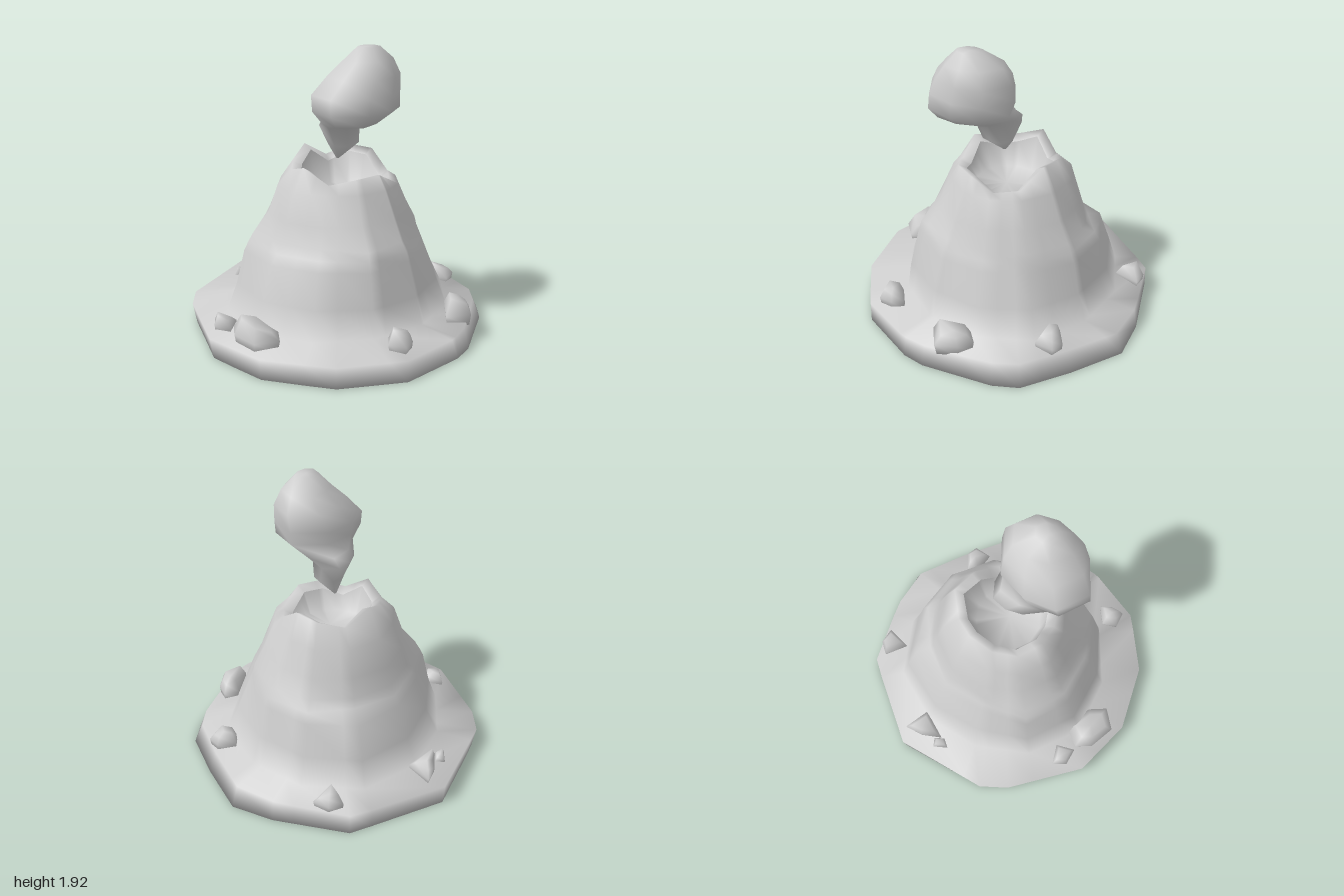
import * as THREE from 'three';

// Skin a stack of closed rings with smooth normals; caps are fans to the ring centre.
function loft(rings, capBottom = true, capTop = true) {
  const n = rings[0].length, pos = [], idx = [];
  rings.forEach(r => r.forEach(p => pos.push(...p)));
  for (let j = 0; j < rings.length - 1; j++) {
    for (let i = 0; i < n; i++) {
      const a = j * n + i, b = j * n + (i + 1) % n, c = b + n, d = a + n;
      idx.push(a, d, c, a, c, b);
    }
  }
  const cap = (j, top) => {
    const c = pos.length / 3;
    pos.push(...[0, 1, 2].map(k => rings[j].reduce((s, p) => s + p[k], 0) / n));
    for (let i = 0; i < n; i++) {
      const a = j * n + i, b = j * n + (i + 1) % n;
      if (top) idx.push(c, b, a); else idx.push(c, a, b);
    }
  };
  if (capBottom) cap(0, false);
  if (capTop) cap(rings.length - 1, true);
  const g = new THREE.BufferGeometry();
  g.setAttribute('position', new THREE.Float32BufferAttribute(pos, 3));
  g.setIndex(idx);
  g.computeVertexNormals();
  return g;
}

// Ground outline (x, z), from +x turning toward +z
const OUTLINE = [[0.99, 0.15], [0.93, 0.32], [0.65, 0.72], [0.53, 0.82], [0.12, 1], [-0.32, 0.955],
  [-0.73, 0.72], [-0.97, 0.36], [-1, -0.2], [-0.95, -0.4], [-0.52, -0.895], [0.15, -1],
  [0.6, -0.765], [0.83, -0.58], [0.93, -0.2]];

// Column angles: every 30 degrees plus each ground corner that is not already close to one
const TURN = Math.PI * 2;
const even = Array.from({ length: 12 }, (_, i) => i / 12 * TURN);
const corners = OUTLINE.map(([x, z]) => (Math.atan2(z, x) + TURN) % TURN);
const ANGLES = [...corners, ...even.filter(e => corners.every(c => Math.abs(c - e) > 0.04))].sort((a, b) => a - b);

// Resample a closed outline of points [x, y, z] to the column angles.
function resample(points) {
  return ANGLES.map(angle => {
    const c = Math.cos(angle + 1e-5), s = Math.sin(angle + 1e-5);
    for (let i = 0; i < points.length; i++) {
      const p = points[i], q = points[(i + 1) % points.length];
      const u = p[2] * c - p[0] * s, v = q[2] * c - q[0] * s;
      if (u <= 0 && v > 0) {
        const t = u / (u - v);
        return p.map((e, m) => e + (q[m] - e) * t);
      }
    }
  });
}

// Ring from twelve radii and one height or twelve.
const polar = (radii, y) => resample(radii.map((r, i) =>
  [r * Math.cos(even[i]), Array.isArray(y) ? y[i] : y, r * Math.sin(even[i])]));

export function createModel() {
  const group = new THREE.Group();
  const stone = new THREE.MeshStandardMaterial({ color: 0xcccccc });
  stone.name = 'paleGrey';
  const add = (name, geometry, parent = group) => {
    const m = new THREE.Mesh(geometry, stone);
    m.name = name;
    parent.add(m);
  };

  // Ground edge: its right side leans inward going up, its left side outward
  const ground = (y, right, left) =>
    resample(OUTLINE.map(([x, z]) => [x * (x > 0 ? right : left), y, z]));

  // Flanks and rim, twelve columns each
  const rimY = [1.04, 1.02, 1.1, 1.09, 1.05, 1.15, 1.1, 1.13, 1.2, 1.1, 1.16, 1.16];
  const rimR = [0.34, 0.34, 0.34, 0.34, 0.32, 0.34, 0.33, 0.32, 0.33, 0.33, 0.37, 0.33];
  const flanks = [
    [0.165, [0.77, 0.74, 0.72, 0.72, 0.75, 0.8, 0.79, 0.76, 0.78, 0.81, 0.78, 0.75]],
    [0.35, [0.68, 0.67, 0.67, 0.69, 0.69, 0.72, 0.72, 0.67, 0.7, 0.75, 0.71, 0.68]],
    [0.57, [0.59, 0.58, 0.6, 0.635, 0.61, 0.64, 0.665, 0.58, 0.61, 0.67, 0.65, 0.63]],
    [0.63, [0.565, 0.55, 0.58, 0.62, 0.57, 0.59, 0.635, 0.55, 0.57, 0.56, 0.61, 0.6]],
    [0.69, [0.55, 0.52, 0.54, 0.6, 0.52, 0.55, 0.6, 0.52, 0.53, 0.535, 0.55, 0.57]],
    [0.82, [0.48, 0.47, 0.48, 0.475, 0.47, 0.5, 0.495, 0.48, 0.5, 0.495, 0.5, 0.49]],
    [1.0, [0.4, 0.4, 0.4, 0.39, 0.39, 0.43, 0.43, 0.41, 0.43, 0.44, 0.44, 0.41]]
  ];
  const lip = polar(rimR.map(r => r - 0.06), rimY.map(y => y - 0.035));

  // Ground, mountain and crater lip as one smooth skin
  add('mountain', loft([
    ground(0, 1, 0.975),
    ground(0.14, 0.94, 1),
    ...flanks.map(([y, r]) => polar(r, y)),
    polar(rimR, rimY),
    lip
  ], true, false));

  // Crater: walls down to a flat floor
  add('crater', loft([lip, polar(rimR.map(() => 0.22), 0.92)], false, true));

  // Smoke: narrow tail widening into a leaning cloud; each row is y, xMin, xMax, zMin, zMax
  const puffs = [
    [1.16, -0.03, -0.01, 0.01, 0.03],
    [1.27, -0.1, 0.11, -0.03, 0.17],
    [1.4, -0.16, 0.12, -0.1, 0.22],
    [1.45, -0.19, 0.2, -0.05, 0.46],
    [1.53, -0.26, 0.32, 0, 0.52],
    [1.63, -0.26, 0.33, -0.04, 0.51],
    [1.74, -0.16, 0.33, -0.01, 0.48],
    [1.84, -0.05, 0.28, 0.05, 0.42],
    [1.92, 0.03, 0.18, 0.18, 0.34]
  ];
  add('smoke', loft(puffs.map(([y, x0, x1, z0, z1]) => Array.from({ length: 8 }, (_, i) => {
    const a = i / 8 * TURN, s = 1 - 0.13 * Math.sin(2 * a);
    return [(x0 + x1) / 2 + (x1 - x0) / 2 * s * Math.cos(a), y, (z0 + z1) / 2 + (z1 - z0) / 2 * s * Math.sin(a)];
  }))));

  // Loose angular rocks: top height, then footprint corners (x, z); tops slope down toward +x
  const rocks = new THREE.Group();
  rocks.name = 'rocks';
  group.add(rocks);
  [
    [0.3, [-0.81, 0.34], [-0.66, 0.31], [-0.56, 0.5], [-0.58, 0.63], [-0.74, 0.63], [-0.83, 0.46]],
    [0.24, [-0.9, 0.15], [-0.77, 0.21], [-0.83, 0.33], [-0.92, 0.25]],
    [0.28, [0.08, 0.76], [0.22, 0.77], [0.2, 0.86], [0.13, 0.93], [0.04, 0.86]],
    [0.3, [0.62, 0.39], [0.73, 0.39], [0.75, 0.5], [0.7, 0.64], [0.53, 0.62]],
    [0.27, [0.73, -0.18], [0.86, -0.16], [0.9, -0.08], [0.81, 0.01], [0.71, -0.1]],
    [0.25, [0.17, -0.92], [0.27, -0.93], [0.35, -0.85], [0.2, -0.75]],
    [0.26, [-0.42, -0.85], [-0.34, -0.68], [-0.55, -0.61], [-0.5, -0.75]],
    [0.2, [-0.6, -0.68], [-0.54, -0.66], [-0.56, -0.59], [-0.63, -0.58]]
  ].forEach(([top, ...foot]) => {
    const mid = [0, 1].map(k => foot.reduce((s, p) => s + p[k], 0) / foot.length);
    const xMin = Math.min(...foot.map(p => p[0]));
    const ring = (s, y, slope) => foot.map(([x, z]) =>
      [mid[0] + (x - mid[0]) * s, y - slope * (x - xMin), mid[1] + (z - mid[1]) * s]);
    add('rock', loft([ring(0.9, 0.12, 0), ring(1, 0.14 + (top - 0.14) * 0.35, 0), ring(0.65, top, 0.25)]), rocks);
  });

  return group;
}
